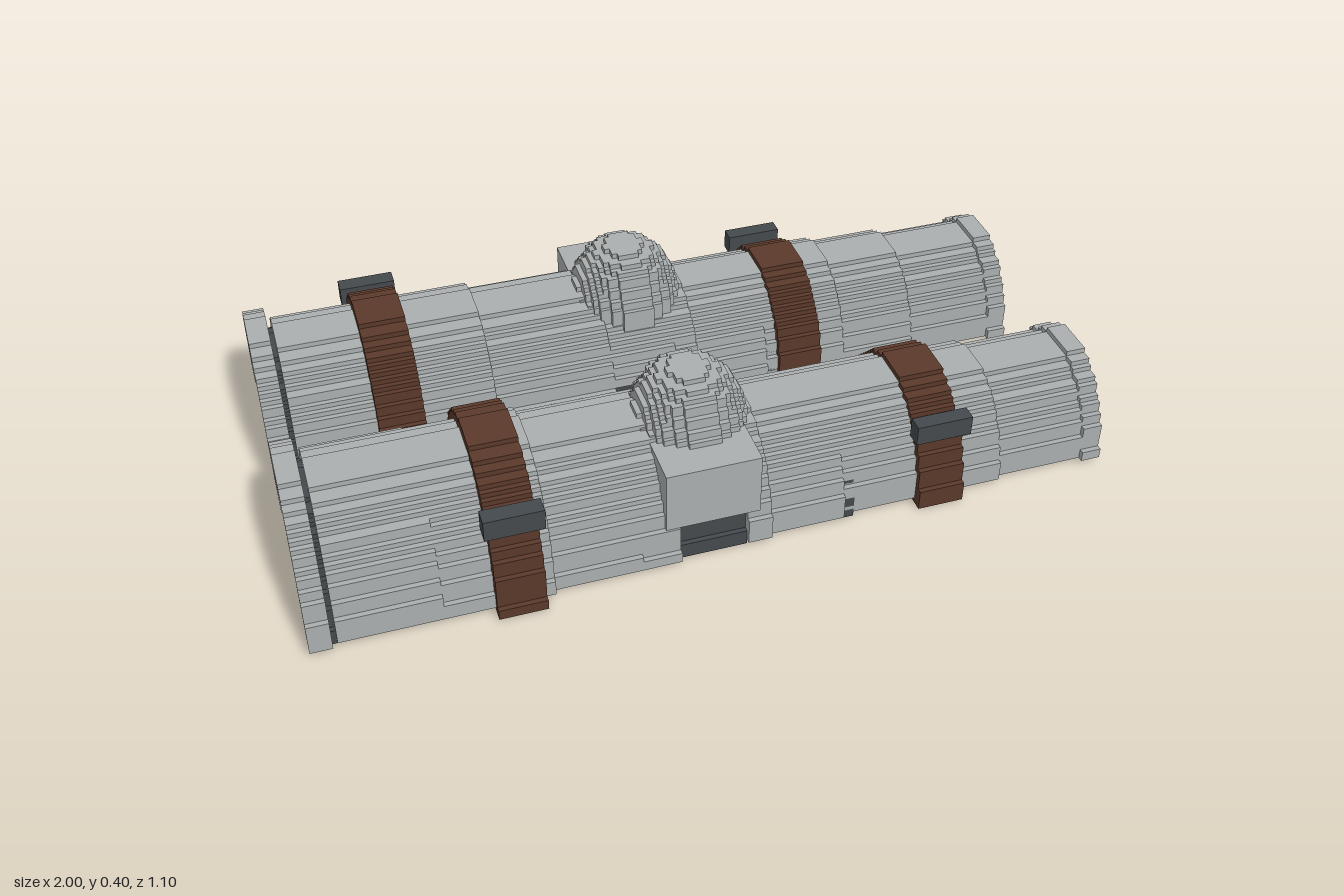
import * as THREE from 'three';

const V = 2 / 150; // size of one block step
const mat = (name, color) => {
  const m = new THREE.MeshStandardMaterial({ color });
  m.name = name;
  return m;
};

// Right half of a stepped arch outline, from row y0 up to the crown
function stairs(W, H, y0) {
  const n = Math.round(H / V), pts = [];
  for (let j = Math.round(y0 / V); j < n; j++) {
    const w = Math.round((W / V) * Math.sqrt(1 - ((j + 0.4) / n) ** 2)) * V;
    pts.push([w, j * V], [w, (j + 1) * V]);
  }
  return pts;
}

// Whole arch outline, from the +z foot over the crown to the -z foot
function arch(W, H, y0) {
  const half = stairs(W, H, y0);
  return [...half, ...half.slice().reverse().map(([z, y]) => [-z, y])];
}

// Extrudes a (z, y) outline along x
function extrudeX(points, x0, x1) {
  const shape = new THREE.Shape(points.map(p => new THREE.Vector2(p[0], p[1])));
  const g = new THREE.ExtrudeGeometry(shape, { depth: x1 - x0, bevelEnabled: false });
  return g.rotateY(-Math.PI / 2).translate(x1, 0, 0);
}

const shell = (x0, x1, W, H, t, y0) =>
  extrudeX([...arch(W, H, y0), ...arch(W - t, H - t, y0).reverse()], x0, x1);

// Round stepped disc lying flat
function disc(r, y0, y1) {
  const upper = arch(r, r, 0);
  const lower = upper.slice().reverse().map(([a, b]) => [a, -b]);
  const shape = new THREE.Shape([...upper, ...lower].map(p => new THREE.Vector2(p[0], p[1])));
  const g = new THREE.ExtrudeGeometry(shape, { depth: y1 - y0, bevelEnabled: false });
  return g.rotateX(-Math.PI / 2).translate(0, y0, 0);
}

// Tapering plates: x0, x1, half width, height, lowest row
const PLATES = [
  [-1, -0.947, 0.272, 0.335, V],
  [-0.935, -0.69, 0.255, 0.307, V],
  [-0.69, -0.43, 0.25, 0.305, V],
  [-0.43, -0.215, 0.237, 0.294, V],
  [-0.215, -0.12, 0.236, 0.294, V],
  [-0.12, 0.05, 0.234, 0.28, 8 * V],
  [0.05, 0.11, 0.23, 0.28, V],
  [0.11, 0.3, 0.218, 0.268, V],
  [0.3, 0.52, 0.207, 0.266, V],
  [0.52, 0.72, 0.2, 0.255, V],
  [0.72, 0.95, 0.191, 0.246, V],
  [0.95, 1, 0.196, 0.255, V],
];

// Dark lining: x0, x1, half width, height, lowest row
const LINING = [
  [-0.99, -0.43, 0.235, 0.28, 0],
  [-0.43, -0.12, 0.213, 0.268, 0],
  [-0.12, 0.05, 0.21, 0.255, 0],
  [0.05, 0.33, 0.2, 0.242, 0],
  [0.33, 0.72, 0.186, 0.235, V],
  [0.72, 0.993, 0.175, 0.225, V],
];

export function createModel() {
  const steel = mat('steel grey', 0xabafaf);
  const dark = mat('dark iron', 0x44494d);
  const leather = mat('brown leather', 0x5a392b);
  const model = new THREE.Group();
  model.name = 'pairOfLimbGuards';

  for (const s of [1, -1]) {
    const guard = new THREE.Group();
    guard.name = s > 0 ? 'frontGuard' : 'backGuard';
    guard.position.z = 0.268 * s;
    model.add(guard);
    const add = (name, geometry, material) => {
      const m = new THREE.Mesh(geometry, material);
      m.name = name;
      guard.add(m);
      return m;
    };

    // Plates and lining
    PLATES.forEach(([x0, x1, W, H, y0], i) =>
      add('plate' + (i + 1), shell(x0, x1, W, H, i === 0 ? 4 * V : 2 * V, y0), steel));
    LINING.forEach(([x0, x1, W, H, y0], i) =>
      add('lining' + (i + 1), shell(x0, x1, W, H, 2 * V, y0), dark));

    // Round boss: base inside the arch and a stepped dome on top
    const base = add('bossBase', disc(0.135, 0.135, 0.285), steel);
    base.position.x = -0.033;
    base.scale.z = 1.08;
    for (let j = 0; j < 9; j++) {
      const y = 0.28 + j * V;
      const r = Math.sqrt(Math.max(0, 0.134 ** 2 - (y + 0.4 * V - 0.267) ** 2));
      add('dome' + (j + 1), disc(Math.max(r, 0.02), y, y + V), steel).position.x = -0.033;
    }

    // Flat cheek on the outer side above the opening
    const cheek = [[0.09, 0.27], [0.222, 0.27], [0.222, 0.107], [0.2, 0.107], [0.16, 0.2]];
    add('cheek', extrudeX(cheek.map(([z, y]) => [z * s, y]), -0.155, 0.078), steel);

    // Straps with buckles on the outer side
    const straps = [
      [s > 0 ? -0.572 : -0.732, 0.274, 0.335, 0.2, 0.243, 0.215, 0.27],
      [s > 0 ? 0.492 : 0.332, 0.224, 0.281, 0.165, 0.204, 0.19, 0.242],
    ];
    for (const [x, W, H, z0, z1, y0, y1] of straps) {
      add('strap', shell(x, x + 0.117, W, H, 2.5 * V, 0), leather);
      const buckle = add('buckle', new THREE.BoxGeometry(0.142, y1 - y0, z1 - z0), dark);
      buckle.position.set(x + 0.058, (y0 + y1) / 2, s * (z0 + z1) / 2);
    }
  }
  return model;
}
